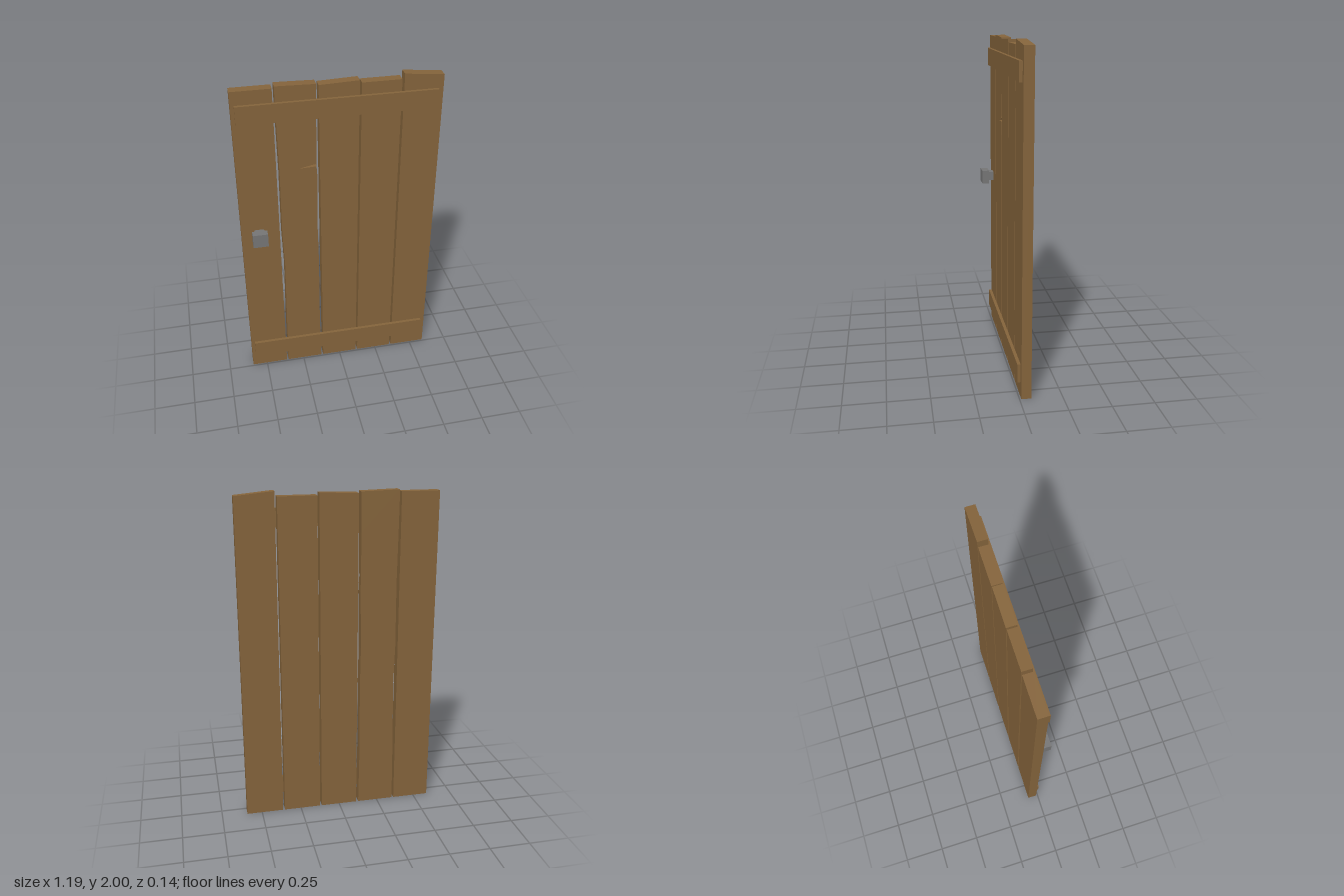
import * as THREE from 'three';

export function createModel() {
  const group = new THREE.Group();
  group.name = 'plankDoor';
  const wood = new THREE.MeshStandardMaterial({ color: 0x86653c });
  wood.name = 'brown wood';
  const metal = new THREE.MeshStandardMaterial({ color: 0x777777 });
  metal.name = 'grey metal';

  const BACK = -0.068, FRONT = -0.01;

  // Board cut from an outline in x and y, between two depths
  function board(name, points, z0, z1) {
    const shape = new THREE.Shape(points.map(([x, y]) => new THREE.Vector2(x, y)));
    const geometry = new THREE.ExtrudeGeometry(shape, { depth: z1 - z0, bevelEnabled: false });
    geometry.translate(0, 0, z0);
    const mesh = new THREE.Mesh(geometry, wood);
    mesh.name = name;
    group.add(mesh);
  }

  // Box given by its limits on each axis
  function block(name, material, [x0, x1], [y0, y1], [z0, z1]) {
    const mesh = new THREE.Mesh(new THREE.BoxGeometry(x1 - x0, y1 - y0, z1 - z0), material);
    mesh.position.set((x0 + x1) / 2, (y0 + y1) / 2, (z0 + z1) / 2);
    mesh.name = name;
    group.add(mesh);
  }

  // Straight planks with unevenly sawn tops: left x, right x, left top, right top
  [
    [-0.593, -0.365, 1.98, 1.98],
    [-0.113, 0.114, 1.977, 1.985],
    [0.126, 0.353, 1.97, 1.97],
    [0.366, 0.593, 2.0, 1.978],
  ].forEach(([l, r, tl, tr], i) =>
    board('plank' + (i + 1), [[l, 0], [r, 0], [r, tr], [l, tl]], BACK, FRONT));

  // Worn plank with wavy edges; its front layer has a split
  const right = [[-0.127, 0], [-0.132, 0.35], [-0.13, 0.8], [-0.134, 1.05], [-0.128, 1.4]];
  const split = [[-0.133, 1.483], [-0.238, 1.479], [-0.133, 1.5]];
  const upper = [[-0.13, 1.75], [-0.126, 1.985], [-0.353, 1.991]];
  const left = [[-0.351, 1.75], [-0.347, 1.45], [-0.35, 1.05], [-0.343, 0.8], [-0.35, 0.35], [-0.353, 0]];
  board('wornPlankBack', [...right, ...upper, ...left], BACK, -0.035);
  board('wornPlankFront', [...right, ...split, ...upper, ...left], -0.035, FRONT);

  // Cross battens
  block('upperBatten', wood, [-0.572, 0.565], [1.79, 1.9], [FRONT, 0.009]);
  block('lowerBatten', wood, [-0.572, 0.565], [0.093, 0.205], [FRONT, 0.009]);

  // Square knob on a short neck
  block('knobNeck', metal, [-0.516, -0.458], [1.037, 1.093], [FRONT, 0.023]);
  block('knob', metal, [-0.533, -0.443], [1.02, 1.106], [0.023, 0.068]);

  return group;
}
